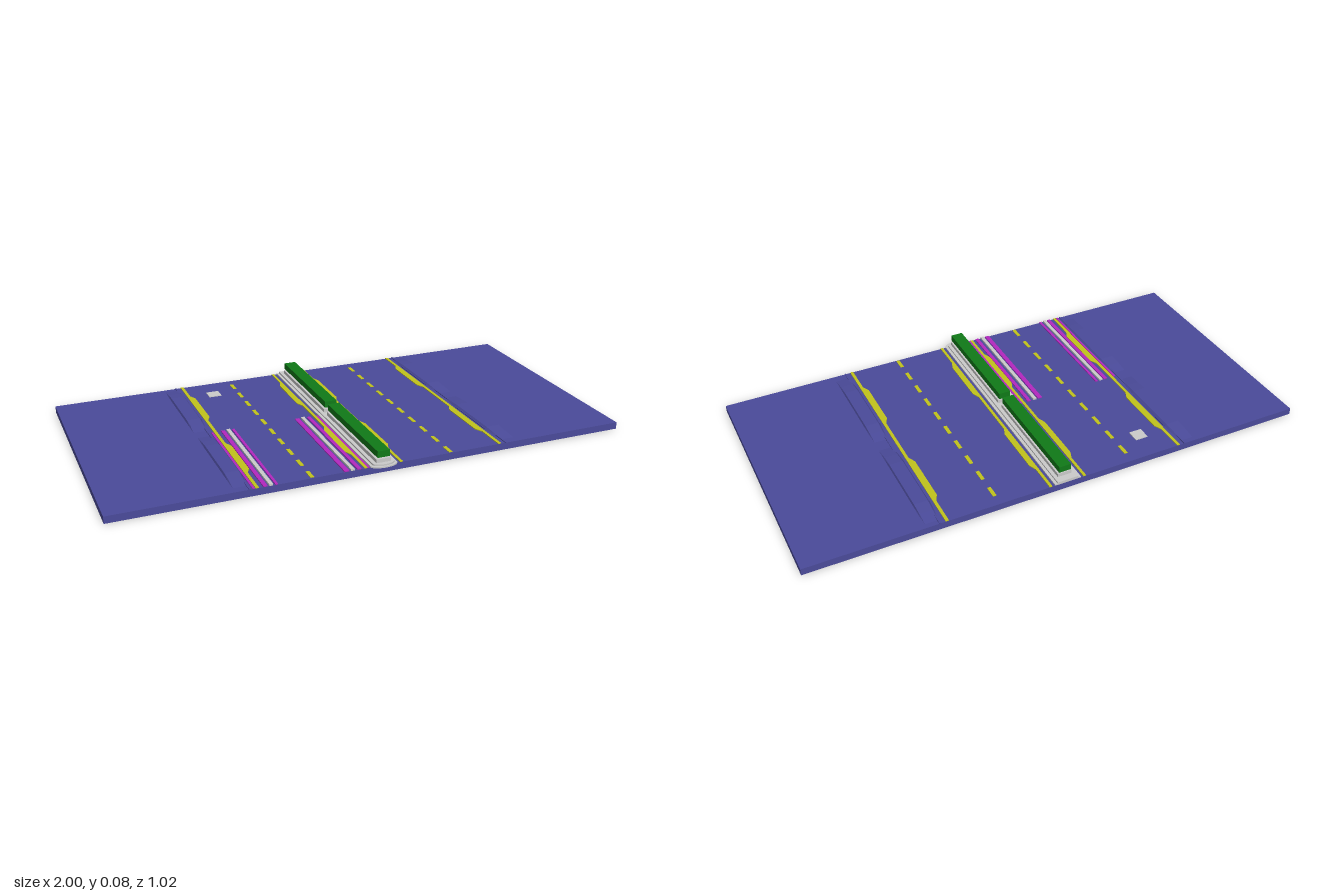
import * as THREE from 'three';

const mat = (color) => new THREE.MeshStandardMaterial({ color, flatShading: true });
const blue = mat(0x4b4b9b), yellow = mat(0xc2c41c), grey = mat(0xcccccc);
const green = mat(0x107a18), magenta = mat(0xb428c0);

const TOP = 0.027;          // road surface height
const BACK = -0.51;         // rear edge of the slab
const TILE = 0.4975;        // length of one road section

export function createModel() {
  const root = new THREE.Group();
  root.name = 'dividedRoad';

  const add = (name, geometry, material, parent = root) => {
    const mesh = new THREE.Mesh(geometry, material);
    mesh.name = name;
    parent.add(mesh);
    return mesh;
  };
  // Box given by its limits on each axis
  const box = (name, material, x0, x1, y0, y1, z0, z1, parent) => {
    const m = add(name, new THREE.BoxGeometry(x1 - x0, y1 - y0, z1 - z0), material, parent);
    m.position.set((x0 + x1) / 2, (y0 + y1) / 2, (z0 + z1) / 2);
    return m;
  };
  // Flat plan outline of [x, z] points, raised from y0 to y1
  const plate = (name, material, points, y0, y1, parent) => {
    const shape = new THREE.Shape(points.map(([x, z]) => new THREE.Vector2(x, -z)));
    const g = new THREE.ExtrudeGeometry(shape, { depth: y1 - y0, bevelEnabled: false });
    g.rotateX(-Math.PI / 2).translate(0, y0, 0);
    return add(name, g, material, parent);
  };

  // Kerb swelling: closed triangular sections swept along z, fading out at both ends
  const kerb = (side, parent) => {
    const stations = [[0.02, 0], [0.07, 0.6], [0.12, 1], [0.36, 1], [0.41, 0.6], [0.465, 0]];
    const pos = [], index = [];
    for (const [z, k] of stations) {
      const h = TOP + 0.009 * k;
      pos.push(0.553, TOP, z, 0.55, h, z, 0.503 - 0.005 * k, h, z, 0.5 - 0.01 * k, TOP, z);
    }
    for (let i = 0; i < stations.length - 1; i++) {
      for (let j = 0; j < 3; j++) {
        const a = i * 4 + j, b = a + 1, c = a + 4, d = a + 5;
        index.push(a, b, c, b, d, c);
      }
    }
    const g = new THREE.BufferGeometry();
    for (let i = 0; i < pos.length; i += 3) pos[i] *= side;
    if (side < 0) index.reverse();
    g.setAttribute('position', new THREE.Float32BufferAttribute(pos, 3));
    g.setIndex(index);
    g.computeVertexNormals();
    add('kerb', g, blue, parent);
  };

  // Yellow line with a wider bulge toward the lane
  const edgeLine = (name, side, xOuter, xInner, xBulge, parent) => {
    const pts = [[xOuter, 0], [xInner, 0], [xInner, 0.11], [xBulge, 0.14],
      [xBulge, 0.345], [xInner, 0.375], [xInner, TILE], [xOuter, TILE]];
    plate(name, yellow, pts.map(([x, z]) => [x * side, z]), TOP, TOP + 0.003, parent);
  };

  // Road slab
  box('roadSlab', blue, -1, 1, 0, TOP, BACK, BACK + 2 * TILE);

  // Two matching road sections
  for (let i = 0; i < 2; i++) {
    const section = new THREE.Group();
    section.name = 'roadSection';
    section.position.z = BACK + i * TILE;
    root.add(section);

    for (const side of [-1, 1]) {
      kerb(side, section);
      // Narrow raised gutter edge between the kerb swellings
      const gutter = [[0.505, 0], [0.499, 0], [0.499, 0.1], [0.49, 0.13],
        [0.49, 0.35], [0.499, 0.38], [0.499, TILE], [0.505, TILE]];
      plate('gutterEdge', blue, gutter.map(([x, z]) => [x * side, z]), TOP, TOP + 0.003, section);
      edgeLine('outerLine', side, 0.481, 0.469, 0.455, section);
      edgeLine('innerLine', side, 0.064, 0.075, 0.087, section);
      for (let d = 0; d < 5; d++) {
        const z = 0.045 + d * TILE / 5;
        box('laneDash', yellow, side * 0.272 - 0.007, side * 0.272 + 0.007,
          TOP, TOP + 0.002, z, z + 0.05, section);
      }
    }
    // Planter with a floating hedge block
    box('planter', grey, -0.028, 0.028, 0.037, 0.052, 0.027, 0.495, section);
    box('hedge', green, -0.024, 0.024, 0.058, 0.083, 0.025, 0.495, section);
  }

  // Median island: two steps, square at the back and rounded at the front
  const island = (w, zStart) => {
    const pts = [[-w, BACK], [-w, zStart]];
    for (let i = 1; i < 12; i++) {
      const a = Math.PI * (1 - i / 12);
      pts.push([w * Math.cos(a), zStart + 0.025 * w / 0.053 * Math.sin(a)]);
    }
    pts.push([w, zStart], [w, BACK]);
    return pts;
  };
  plate('medianBase', grey, island(0.053, 0.482), TOP, 0.032);
  plate('medianTop', grey, island(0.042, 0.48), 0.032, 0.038);

  // Coloured guide strips along the front section of the right-hand carriageway
  const strips = [
    ['guideStrip', magenta, -0.492, -0.483, 0.03], ['guideStrip', magenta, -0.453, -0.438, 0.031],
    ['guideRail', grey, -0.432, -0.418, 0.034], ['guideStrip', magenta, -0.41, -0.4, 0.031],
    ['guideStrip', magenta, -0.152, -0.134, 0.031], ['guideRail', grey, -0.127, -0.113, 0.034],
    ['guideStrip', magenta, -0.102, -0.088, 0.031], ['guideStrip', magenta, -0.064, -0.055, 0.03],
  ];
  for (const [name, material, x0, x1, y] of strips) {
    box(name, material, x0, x1, TOP, y, -0.015, 0.485);
  }

  // Small square cover in the lane
  box('serviceCover', grey, -0.397, -0.346, TOP, 0.03, -0.415, -0.365);

  return root;
}
